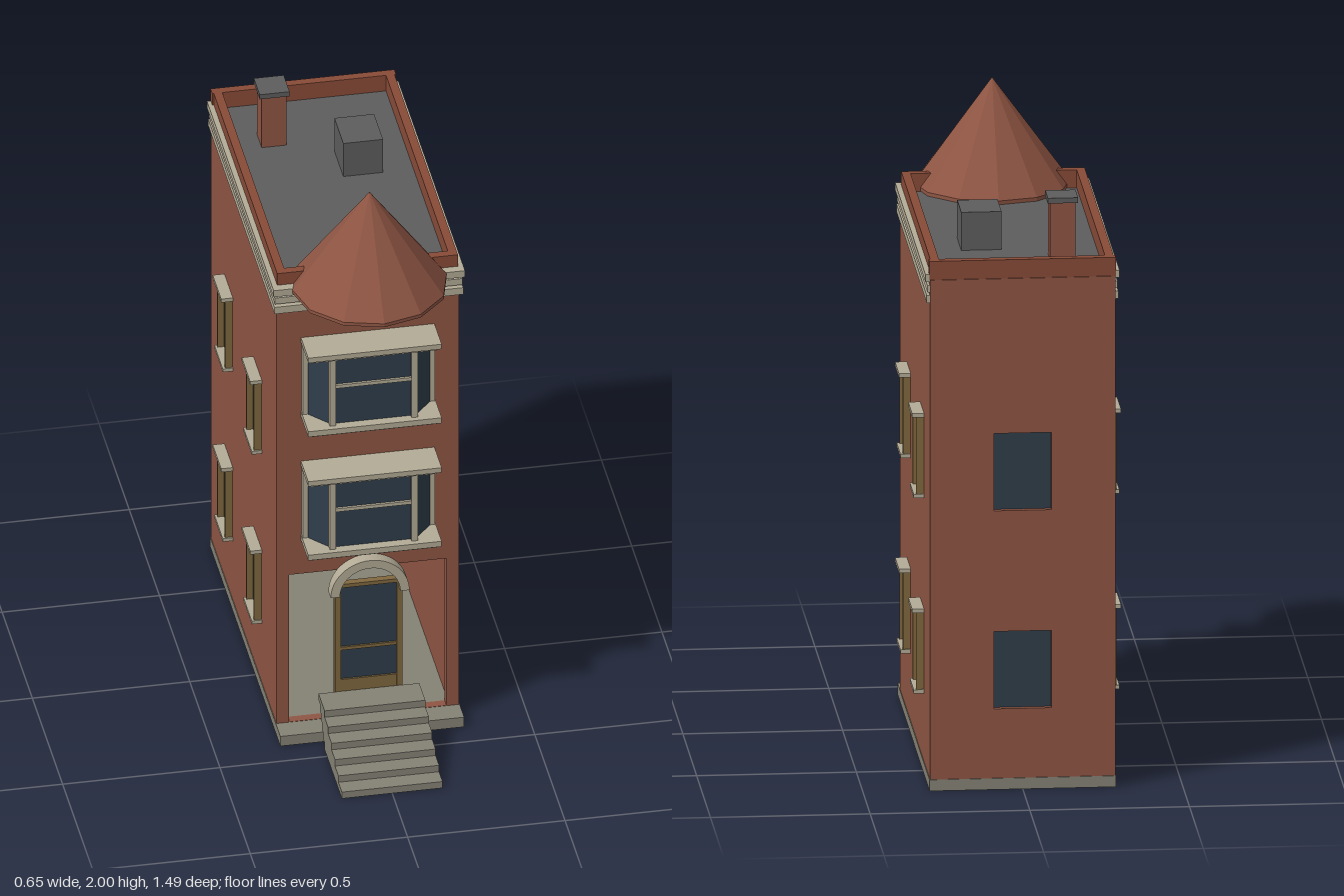
import * as THREE from 'three';

const mat = (name, color, side = THREE.FrontSide) => {
  const m = new THREE.MeshStandardMaterial({ color, side });
  m.name = name;
  return m;
};

export function createModel() {
  const brick = mat('brick', 0x8e5543);
  const parapetRed = mat('parapet red', 0x884b38);
  const trim = mat('limestone trim', 0xb3ab96);
  const stone = mat('grey stone', 0x858275);
  const glass = mat('dark glass', 0x2f3d4a, THREE.DoubleSide);
  const wood = mat('ochre wood', 0x80683f);
  const slate = mat('roof grey', 0x5d5d5d);

  const model = new THREE.Group();
  model.name = 'townhouse';

  const add = (parent, name, geo, material) => {
    const mesh = new THREE.Mesh(geo, material);
    mesh.name = name;
    parent.add(mesh);
    return mesh;
  };
  // Box given by its extents on each axis
  const box = (parent, name, material, x0, x1, y0, y1, z0, z1) => {
    const mesh = add(parent, name, new THREE.BoxGeometry(x1 - x0, y1 - y0, z1 - z0), material);
    mesh.position.set((x0 + x1) / 2, (y0 + y1) / 2, (z0 + z1) / 2);
    return mesh;
  };
  const group = (name) => {
    const g = new THREE.Group();
    g.name = name;
    model.add(g);
    return g;
  };
  // Upright wall panel with rectangular openings [x0, x1, y0, y1]
  const wall = (name, y0, y1, z0, depth, openings) => {
    const rect = (P, a, b, c, d) => {
      const p = new P();
      p.moveTo(a, c);
      p.lineTo(b, c);
      p.lineTo(b, d);
      p.lineTo(a, d);
      p.closePath();
      return p;
    };
    const s = rect(THREE.Shape, -0.29, 0.29, y0, y1);
    openings.forEach((o) => s.holes.push(rect(THREE.Path, ...o)));
    const mesh = add(model, name, new THREE.ExtrudeGeometry(s, { depth, bevelEnabled: false }), brick);
    mesh.position.z = z0;
  };

  // Plinth, hollow brick shell and roof
  box(model, 'plinth', stone, -0.292, 0.292, 0, 0.036, -0.745, 0.415);
  wall('frontWall', 0.036, 1.65, 0.31, 0.03, [[-0.25, 0.25, 0.037, 0.585]]);
  wall('backWall', 0.036, 1.65, -0.742, 0.03, [[-0.09, 0.09, 0.26, 0.51], [-0.09, 0.09, 0.9, 1.15]]);
  for (const y of [0.26, 0.9]) {
    box(model, 'backWindow', glass, -0.09, 0.09, y, y + 0.25, -0.724, -0.716);
  }
  box(model, 'rightWall', brick, -0.29, -0.26, 0.036, 1.65, -0.712, 0.31);
  box(model, 'leftWall', brick, 0.26, 0.29, 0.036, 1.65, -0.712, 0.31);
  box(model, 'roof', slate, -0.26, 0.26, 1.6, 1.652, -0.712, 0.31);

  // Parapet
  const parapet = group('parapet');
  for (const s of [-1, 1]) {
    box(parapet, 'parapetSide', parapetRed, Math.min(s * 0.26, s * 0.287), Math.max(s * 0.26, s * 0.287), 1.65, 1.71, -0.71, 0.31);
  }
  box(parapet, 'parapetFront', parapetRed, -0.287, 0.287, 1.65, 1.71, 0.31, 0.338);
  box(parapet, 'parapetBack', parapetRed, -0.292, 0.292, 1.65, 1.71, -0.738, -0.71);

  // Three cornice bands on the front and both sides
  const cornice = group('cornice');
  [[1.575, 1.6, 0.01], [1.609, 1.632, 0.008], [1.643, 1.667, 0.014]].forEach(([y0, y1, out]) => {
    box(cornice, 'frontBand', trim, -0.29 - out, 0.29 + out, y0, y1, 0.336, 0.343 + out * 1.7);
    box(cornice, 'rightBand', trim, -0.29 - out, -0.286, y0, y1, -0.735, 0.34);
    box(cornice, 'leftBand', trim, 0.286, 0.29 + out, y0, y1, -0.735, 0.34);
  });

  // Turret roof with twelve facets
  const cone = new THREE.CylinderGeometry(0, 0.245, 0.335, 12, 1).toNonIndexed();
  cone.computeVertexNormals();
  add(model, 'turretRoof', cone, brick).position.set(0, 1.8325, 0.37);
  const rim = new THREE.CylinderGeometry(0.245, 0.245, 0.012, 12).toNonIndexed();
  rim.computeVertexNormals();
  add(model, 'turretRim', rim, brick).position.set(0, 1.659, 0.37);

  // Chimney and roof vent
  box(model, 'chimney', brick, -0.182, -0.103, 1.65, 1.838, -0.543, -0.465);
  box(model, 'chimneyCap', slate, -0.19, -0.095, 1.838, 1.855, -0.553, -0.457);
  box(model, 'roofVent', slate, 0.037, 0.163, 1.65, 1.775, -0.403, -0.255);

  // Bay windows with angled side panes
  for (const y of [0.7, 1.16]) {
    const bay = group('bayWindow');
    box(bay, 'sillLower', trim, -0.2, 0.2, y, y + 0.01, 0.336, 0.446);
    box(bay, 'sill', trim, -0.212, 0.212, y + 0.01, y + 0.03, 0.336, 0.46);
    box(bay, 'headerLower', trim, -0.2, 0.2, y + 0.274, y + 0.288, 0.336, 0.446);
    box(bay, 'header', trim, -0.212, 0.212, y + 0.286, y + 0.304, 0.336, 0.46);
    box(bay, 'centrePane', glass, -0.125, 0.125, y + 0.03, y + 0.275, 0.42, 0.428);
    box(bay, 'meetingRail', trim, -0.12, 0.12, y + 0.164, y + 0.176, 0.418, 0.436);
    for (const s of [-1, 1]) {
      for (const [x, z] of [[0.13, 0.431], [0.2, 0.35]]) {
        box(bay, 'mullion', trim, s * x - 0.01, s * x + 0.01, y + 0.03, y + 0.275, z - 0.011, z + 0.011);
      }
      const dx = 0.07, dz = -0.081;
      const pane = box(bay, 'sidePane', glass, -0.053, 0.053, y + 0.03, y + 0.275, -0.004, 0.004);
      pane.position.x = s * 0.165;
      pane.position.z = 0.388;
      pane.rotation.y = s * Math.atan2(-dz, dx);
    }
  }

  // Side windows: glass set inside a projecting wooden frame
  for (const s of [-1, 1]) {
    for (const z of [0.029, -0.45]) {
      for (const y of [0.255, 0.887]) {
        const win = group('sideWindow');
        const part = (name, m, x0, x1, y0, y1, z0, z1) =>
          box(win, name, m, Math.min(s * x0, s * x1), Math.max(s * x0, s * x1), y + y0, y + y1, z + z0, z + z1);
        part('pane', glass, 0.288, 0.294, 0.01, 0.262, -0.058, 0.058);
        for (const e of [-1, 1]) {
          part('jamb', wood, 0.288, 0.314, 0.01, 0.262, e * 0.06 - 0.005, e * 0.06 + 0.005);
        }
        part('sill', trim, 0.288, 0.322, 0, 0.012, -0.07, 0.07);
        part('lintel', trim, 0.288, 0.327, 0.26, 0.273, -0.07, 0.07);
      }
    }
  }

  // Entrance door standing in the opening
  const door = group('frontDoor');
  for (const s of [-1, 1]) {
    box(door, 'doorStile', wood, s * 0.098 - 0.009, s * 0.098 + 0.009, 0.036, 0.54, 0.335, 0.358);
  }
  box(door, 'doorHead', wood, -0.089, 0.089, 0.527, 0.54, 0.335, 0.358);
  box(door, 'doorPanel', wood, -0.089, 0.089, 0.036, 0.185, 0.337, 0.356);
  box(door, 'doorRail', wood, -0.089, 0.089, 0.294, 0.305, 0.337, 0.356);
  box(door, 'doorGlass', glass, -0.089, 0.089, 0.185, 0.527, 0.342, 0.35);

  // Stone arch over the door
  const arch = new THREE.Shape();
  arch.absarc(0, 0.508, 0.125, 0, Math.PI, false);
  arch.absarc(0, 0.508, 0.096, Math.PI, 0, true);
  arch.closePath();
  add(model, 'doorArch', new THREE.ExtrudeGeometry(arch, { depth: 0.04, bevelEnabled: false, curveSegments: 16 }), trim)
    .position.z = 0.34;

  // Entrance stairs, stepped above and below
  const stairs = group('stairs');
  for (let i = 0; i < 6; i++) {
    box(stairs, 'step', stone, -0.16, 0.16, i * 0.024, (i + 1) * 0.024, 0.46 - i * 0.02, 0.745 - i * 0.057);
  }
  return model;
}
